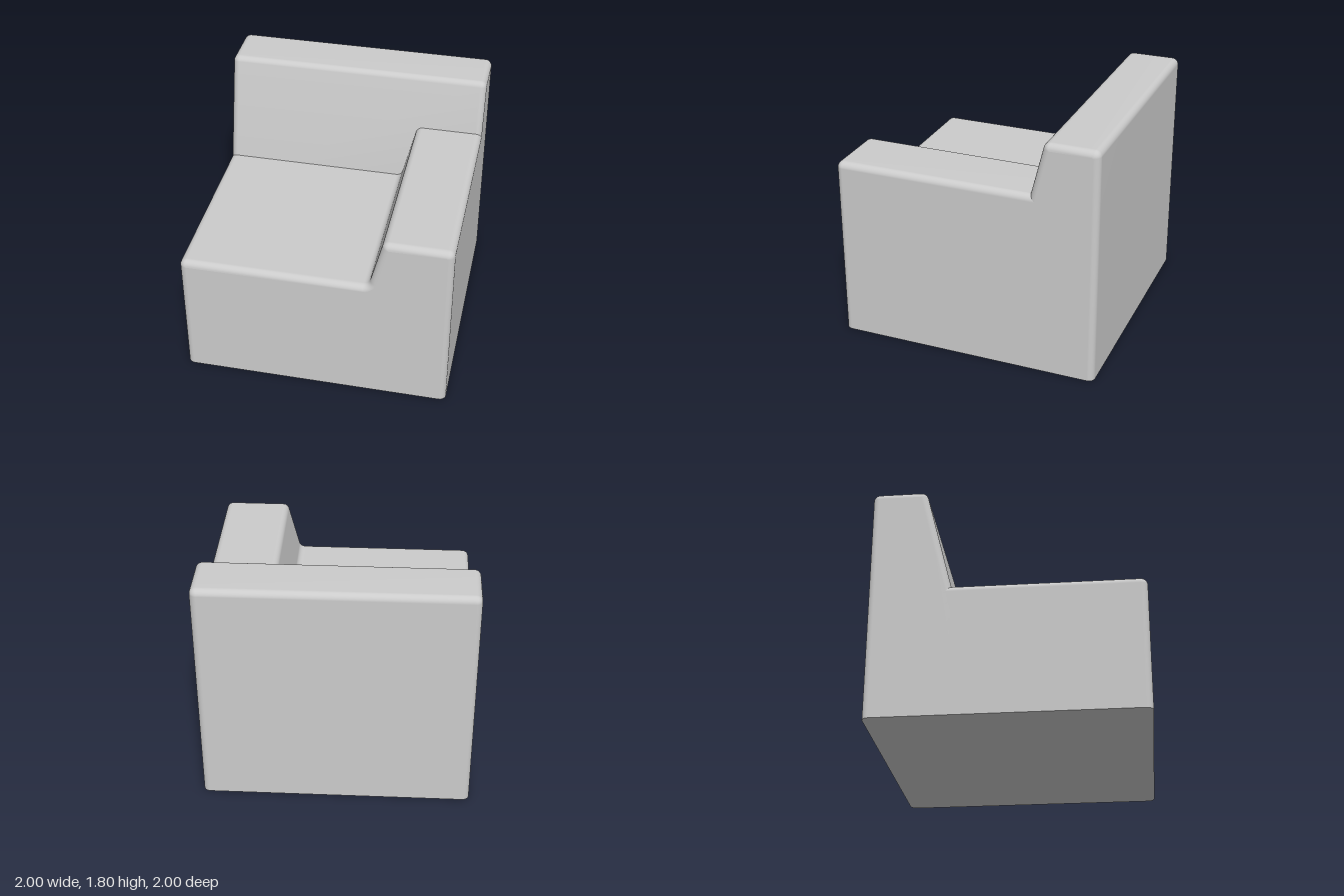
import * as THREE from 'three';

const R = 0.05; // edge radius

// Outline with rounded corners; each corner is [x, y, rounded]
function roundedShape(corners) {
  const pts = [];
  corners.forEach(([x, y, rounded], i) => {
    const n = corners.length;
    const p = new THREE.Vector2(x, y);
    if (!rounded) { pts.push(p); return; }
    const a = new THREE.Vector2(...corners[(i + n - 1) % n]).sub(p).normalize();
    const b = new THREE.Vector2(...corners[(i + 1) % n]).sub(p).normalize();
    const half = Math.acos(a.dot(b)) / 2;
    const c = a.clone().add(b).normalize().multiplyScalar(R / Math.sin(half)).add(p);
    const t = R / Math.tan(half);
    const s = p.clone().addScaledVector(a, t).sub(c);
    const e = p.clone().addScaledVector(b, t).sub(c);
    const sweep = Math.atan2(s.cross(e), s.dot(e));
    const start = Math.atan2(s.y, s.x);
    for (let k = 0; k <= 6; k++) {
      const ang = start + sweep * k / 6;
      pts.push(new THREE.Vector2(c.x + R * Math.cos(ang), c.y + R * Math.sin(ang)));
    }
  });
  return new THREE.Shape(pts);
}

// Area-weighted smooth normals that keep edges sharper than 40 degrees
function softNormals(geo) {
  const g = geo.index ? geo.toNonIndexed() : geo;
  const pos = g.attributes.position, faces = [], at = new Map();
  const v = [0, 1, 2].map(() => new THREE.Vector3());
  const key = (i) => [pos.getX(i), pos.getY(i), pos.getZ(i)].map((q) => Math.round(q * 1e4)).join();
  for (let i = 0; i < pos.count; i += 3) {
    v.forEach((q, k) => q.fromBufferAttribute(pos, i + k));
    const area = v[1].clone().sub(v[0]).cross(v[2].clone().sub(v[0]));
    const face = { area, dir: area.clone().normalize() };
    faces.push(face);
    for (let k = 0; k < 3; k++) {
      const id = key(i + k);
      if (!at.has(id)) at.set(id, []);
      at.get(id).push(face);
    }
  }
  const limit = Math.cos(THREE.MathUtils.degToRad(40));
  for (let i = 0; i < pos.count; i++) {
    const own = faces[Math.floor(i / 3)].dir, sum = new THREE.Vector3();
    for (const f of at.get(key(i))) if (f.dir.dot(own) > limit) sum.add(f.area);
    sum.normalize();
    g.attributes.normal.setXYZ(i, sum.x, sum.y, sum.z);
  }
  return g;
}

// Prism with rounded ends along z from z0 to z1, cut flat at the floor
function softPrism(corners, z0, z1) {
  const geo = new THREE.ExtrudeGeometry(roundedShape(corners), {
    depth: z1 - z0 - 2 * R, bevelThickness: R, bevelSize: R - 0.001,
    bevelOffset: -(R - 0.001), bevelSegments: 6,
  });
  geo.translate(0, 0, z0 + R);
  const pos = geo.attributes.position;
  for (let i = 0; i < pos.count; i++) pos.setY(i, Math.max(0, pos.getY(i)));
  return softNormals(geo);
}

export function createModel() {
  const group = new THREE.Group();
  group.name = 'cornerSofaModule';
  const material = new THREE.MeshStandardMaterial({ color: 0xcccccc });
  const add = (name, geo) => {
    const mesh = new THREE.Mesh(geo, material);
    mesh.name = name;
    group.add(mesh);
  };

  // Seat block with one raised, sloping arm on the left
  add('seatAndArm', softPrism([
    [-1, -0.1], [1, -0.1], [1, 1.4, true], [0.5, 1.4, true],
    [0.4, 1, true], [-1, 1, true],
  ], -0.9, 1));

  // Backrest with a leaning front face, extruded across the width
  const back = softPrism([
    [0.35, -0.1], [1, -0.1], [1, 1.8, true], [0.6, 1.8, true], [0.35, 0.8],
  ], -1, 1);
  back.rotateY(Math.PI / 2);
  add('backrest', back);

  return group;
}
